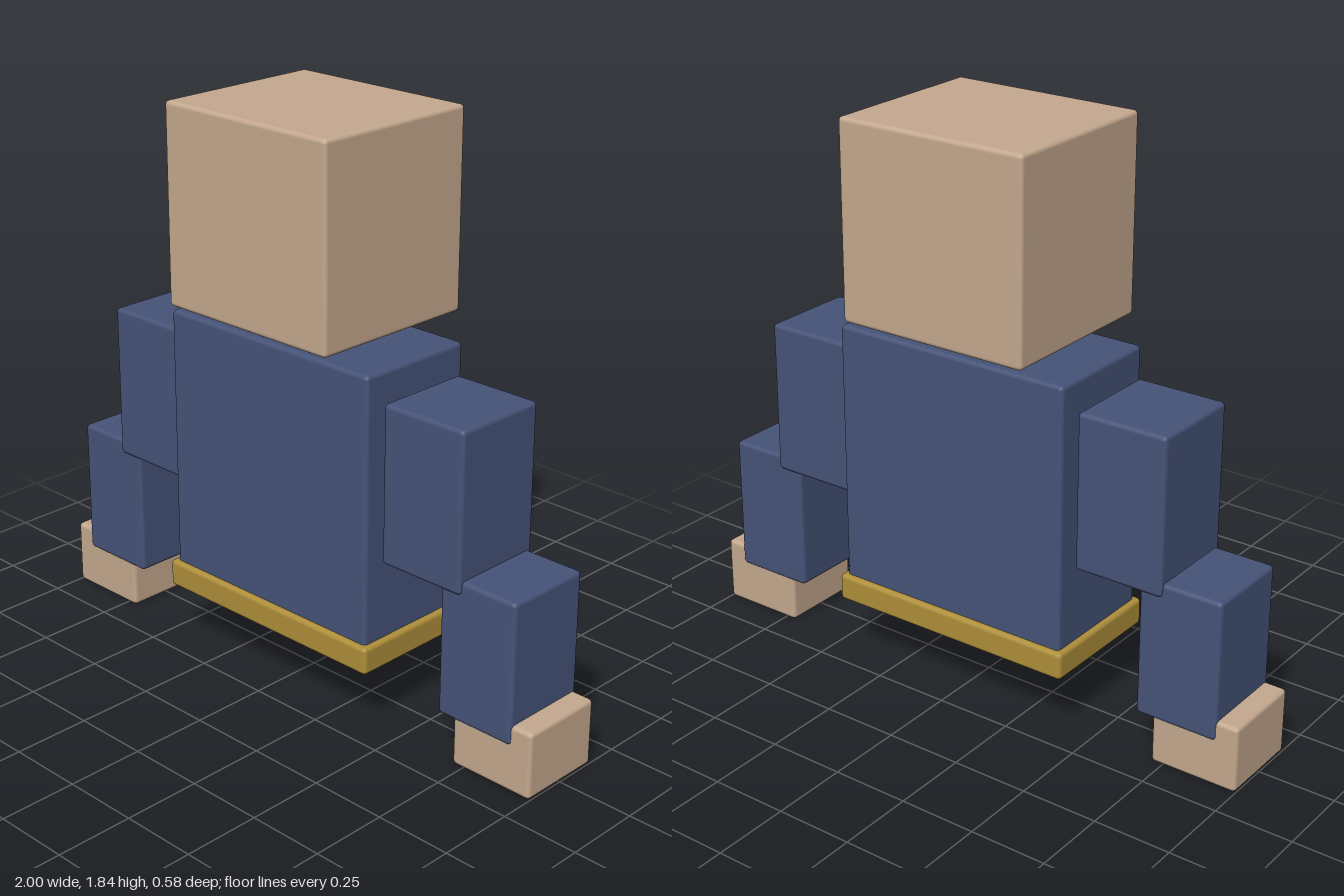
import * as THREE from 'three';
import { RoundedBoxGeometry } from 'three/addons/geometries/RoundedBoxGeometry.js';

const material = (name, color) => {
  const m = new THREE.MeshStandardMaterial({ color });
  m.name = name;
  return m;
};

export function createModel() {
  const skin = material('skin', 0xc4a88e);
  const cloth = material('navy cloth', 0x465378);
  const gold = material('gold belt', 0xae8e3a);

  const model = new THREE.Group();
  model.name = 'blockFigure';

  // Softly bevelled block given by its x and y ranges and half depth
  const block = (parent, name, mat, [x0, x1], [y0, y1], halfDepth, bevel = 0.014) => {
    const geometry = new RoundedBoxGeometry(x1 - x0, y1 - y0, halfDepth * 2, 2, bevel);
    const mesh = new THREE.Mesh(geometry, mat);
    mesh.name = name;
    mesh.position.set((x0 + x1) / 2, (y0 + y1) / 2, 0);
    parent.add(mesh);
  };

  // Floating head, torso and belt
  block(model, 'head', skin, [-0.327, 0.327], [1.213, 1.845], 0.29);
  block(model, 'torso', cloth, [-0.413, 0.413], [0.24, 1.16], 0.206);
  block(model, 'belt', gold, [-0.431, 0.431], [0.214, 0.304], 0.224);

  // Arms stepping outwards, mirrored
  for (const [side, s] of [['left', 1], ['right', -1]]) {
    const arm = new THREE.Group();
    arm.name = side + 'Arm';
    const span = (a, b) => (s > 0 ? [a, b] : [-b, -a]);
    block(arm, side + 'UpperArm', cloth, span(0.435, 0.735), [0.568, 1.075], 0.162);
    block(arm, side + 'Forearm', cloth, span(0.655, 0.93), [0.155, 0.61], 0.15);
    block(arm, side + 'Hand', skin, span(0.71, 1), [0.003, 0.22], 0.144);
    model.add(arm);
  }

  return model;
}
